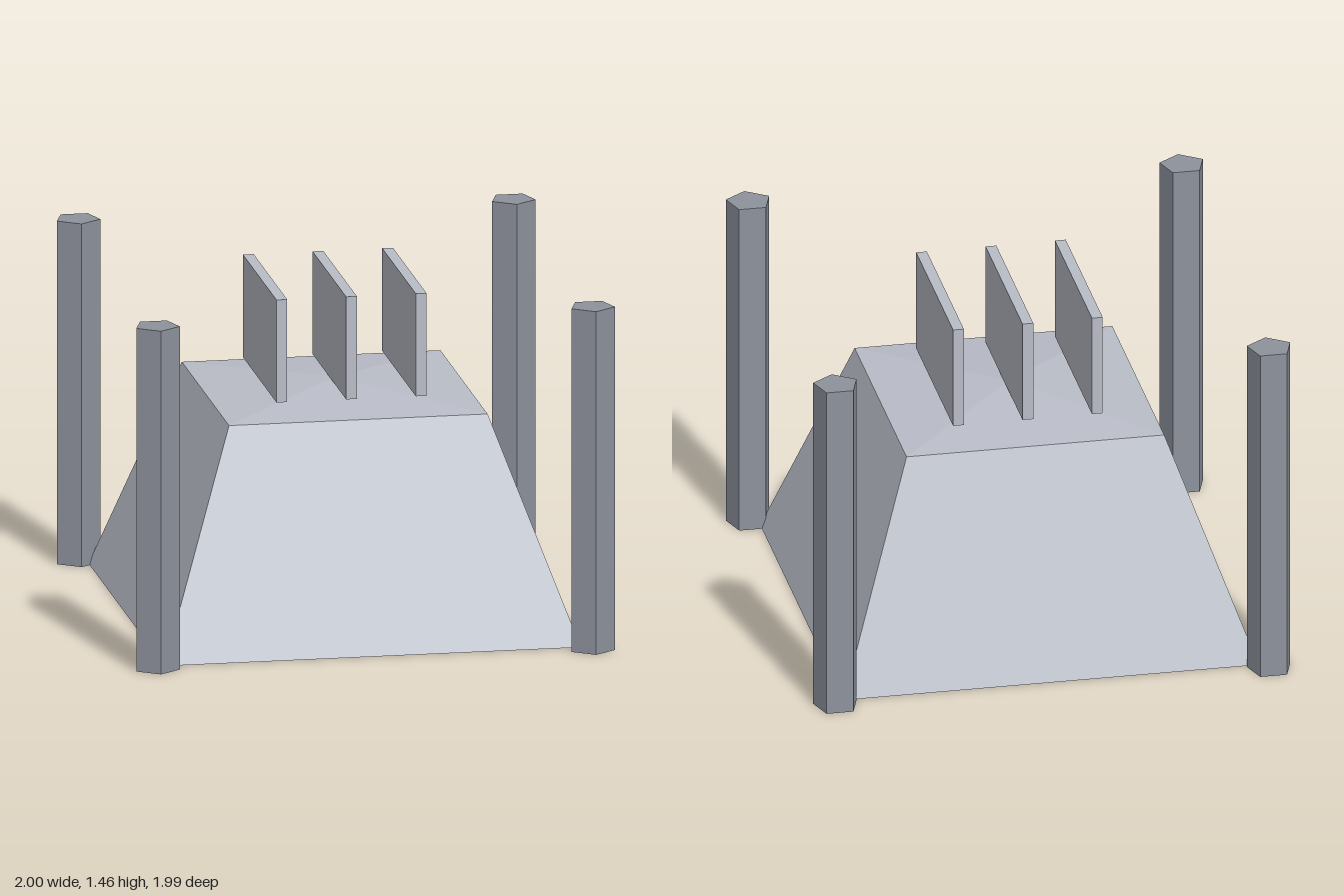
import * as THREE from 'three';

export function createModel() {
  const model = new THREE.Group();
  model.name = 'extractorHood';

  const lightMetal = new THREE.MeshStandardMaterial({ color: 0xb9bdc7, flatShading: true, side: THREE.DoubleSide });
  lightMetal.name = 'lightMetal';
  const darkMetal = new THREE.MeshStandardMaterial({ color: 0x8e929c, flatShading: true });
  darkMetal.name = 'darkMetal';

  const zOffset = -0.009; // balances the five-sided posts about z = 0
  const add = (name, geometry, material, x, y, z) => {
    const mesh = new THREE.Mesh(geometry, material);
    mesh.name = name;
    mesh.position.set(x, y, z + zOffset);
    model.add(mesh);
  };

  // Square open shell with the given half widths at top and bottom
  const squareShell = (top, bottom, height) =>
    new THREE.CylinderGeometry(top * Math.SQRT2, bottom * Math.SQRT2, height, 4, 1, true).rotateY(Math.PI / 4);

  // Hood: tapered walls open below, closed by a shallow pyramid
  const hoodHeight = 0.922, roofHeight = 0.05;
  add('hoodWalls', squareShell(0.54, 0.87, hoodHeight), lightMetal, 0, hoodHeight / 2, 0);
  add('hoodRoof', squareShell(0, 0.54, roofHeight), lightMetal, 0, hoodHeight + roofHeight / 2, 0);

  // Three upright fins above the roof
  const fin = new THREE.BoxGeometry(0.045, 0.435, 0.77);
  for (const x of [-0.291, 0, 0.291]) add('fin', fin, lightMetal, x, 1.188, 0);

  // Five-sided corner posts
  const postHeight = 1.455;
  const post = new THREE.CylinderGeometry(0.0957, 0.0957, postHeight, 5);
  for (const x of [-0.909, 0.909])
    for (const z of [-0.909, 0.909]) add('cornerPost', post, darkMetal, x, postHeight / 2, z);

  return model;
}
